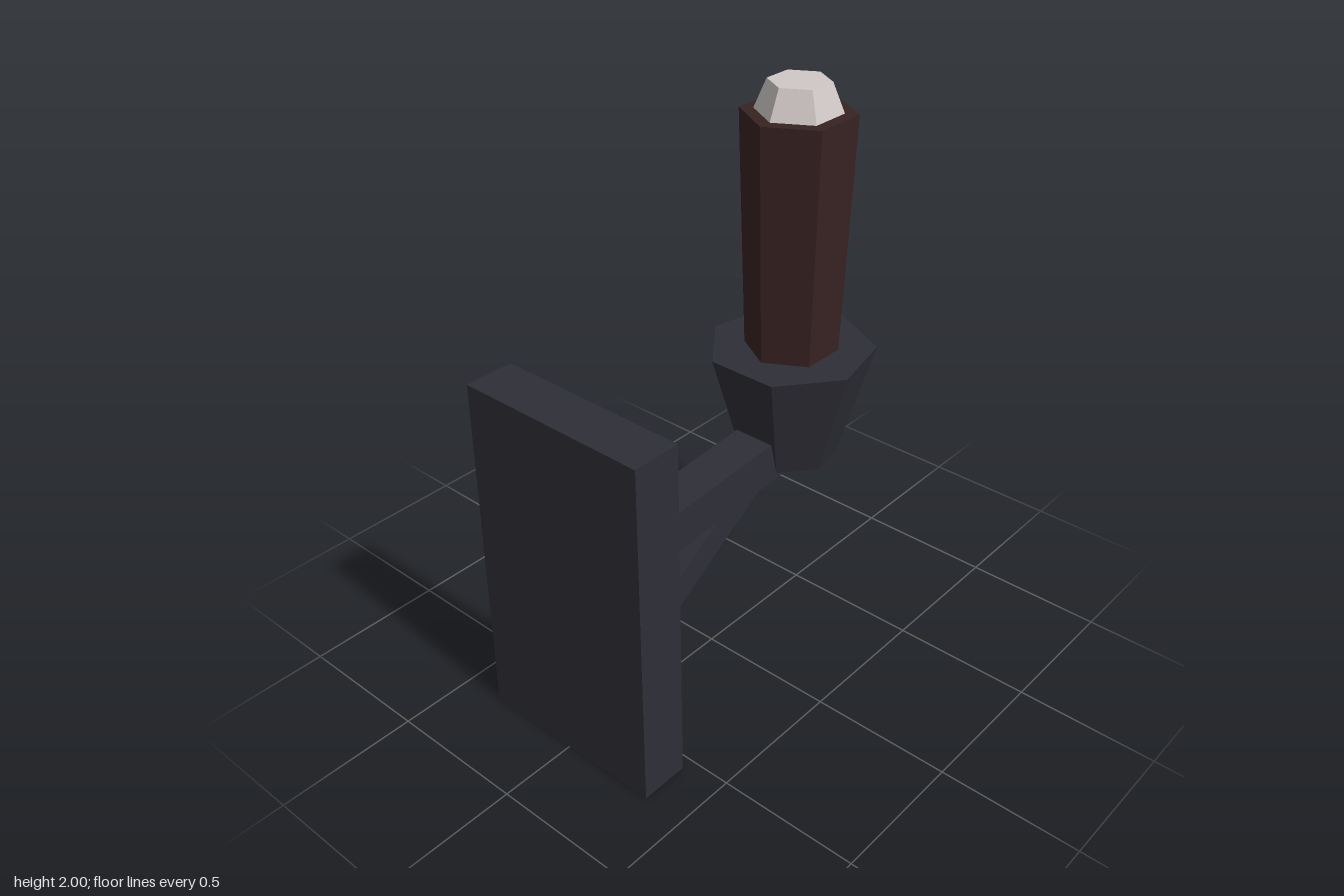
import * as THREE from 'three';

const material = (name, color) => {
  const m = new THREE.MeshStandardMaterial({ color, flatShading: true });
  m.name = name;
  return m;
};

export function createModel() {
  const iron = material('dark iron', 0x2e2e37);
  const wood = material('dark wood', 0x372322);
  const ash = material('pale ash', 0xd0c8c7);

  const group = new THREE.Group();
  group.name = 'wallTorch';

  const add = (name, geometry, mat) => {
    const mesh = new THREE.Mesh(geometry, mat);
    mesh.name = name;
    group.add(mesh);
    return mesh;
  };

  // Square bar running between two points in the x-y plane
  const bar = (name, x0, y0, x1, y1, size) => {
    const length = Math.hypot(x1 - x0, y1 - y0);
    const mesh = add(name, new THREE.BoxGeometry(length, size, size), iron);
    mesh.position.set((x0 + x1) / 2, (y0 + y1) / 2, 0);
    mesh.rotation.z = Math.atan2(y1 - y0, x1 - x0);
  };

  // Tapered prism on the torch axis, one corner pointing to +x
  const axisX = 0.418;
  const prism = (name, sides, rTop, rBottom, yBottom, yTop, mat) => {
    const geometry = new THREE.CylinderGeometry(
      rTop, rBottom, yTop - yBottom, sides, 1, false, Math.PI / 2);
    add(name, geometry, mat).position.set(axisX, (yBottom + yTop) / 2, 0);
  };

  // Wall plate
  add('wallPlate', new THREE.BoxGeometry(0.175, 1.265, 0.7), iron)
    .position.set(-0.6325, 0.6325, 0);

  // Arm and diagonal brace, both let into the plate
  bar('arm', -0.62, 0.638, 0.415, 0.7025, 0.155);
  bar('brace', -0.6, 0.143, 0.22, 0.662, 0.104);

  // Cup, shaft and burnt tip
  prism('cup', 7, 0.297, 0.178, 0.635, 1.055, iron);
  prism('shaft', 6, 0.193, 0.157, 0.85, 1.9, wood);
  prism('tip', 6, 0.105, 0.15, 1.89, 2.0, ash);

  return group;
}
